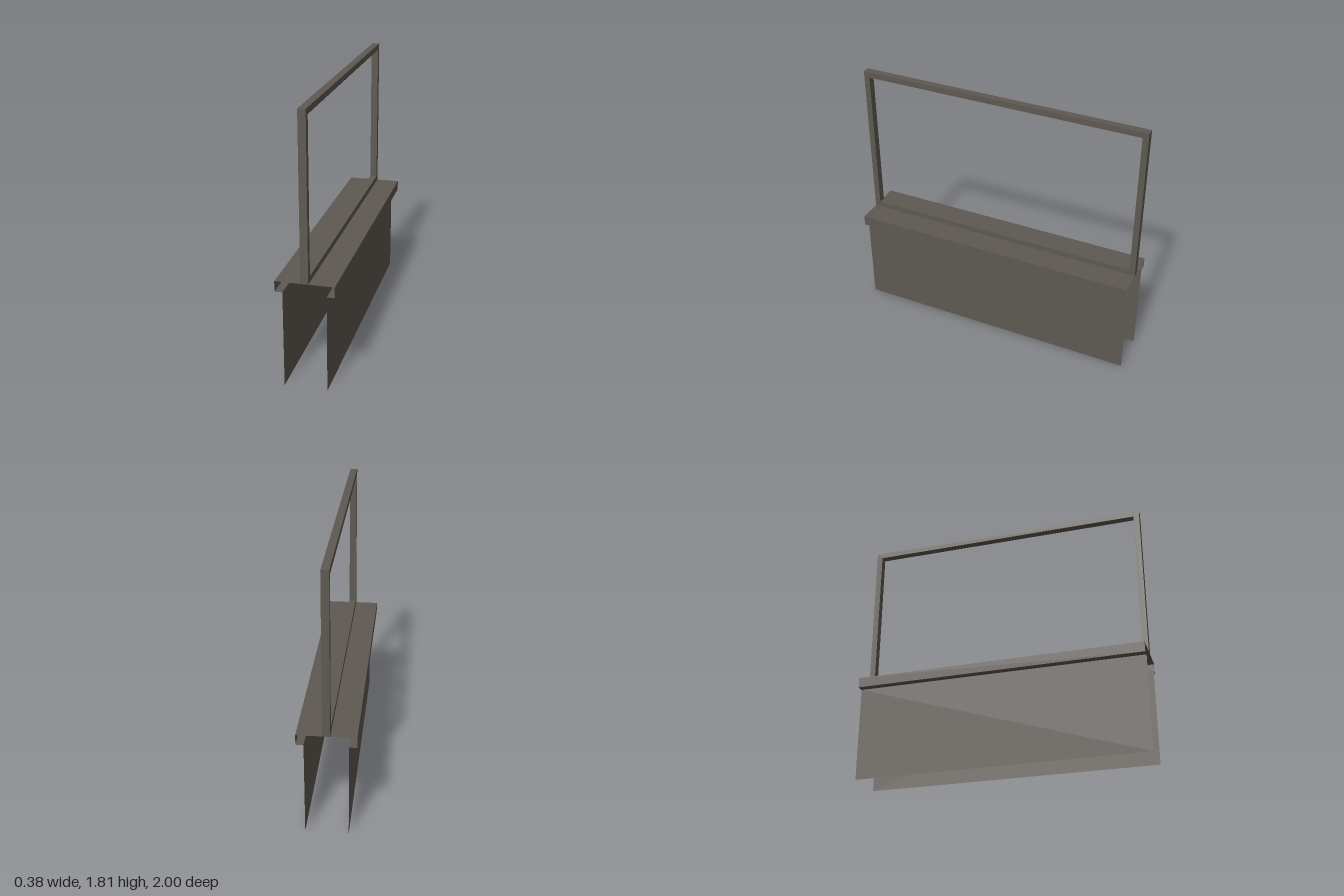
import * as THREE from 'three';

const WALL_X = 0.14, LEDGE_X = 0.19, LEDGE_Y = 0.65, SILL_Y = 0.72;
const TOP_Y = 1.81, HALF = 1, BAR = 0.04;

export function createModel() {
  const group = new THREE.Group();
  const stone = new THREE.MeshStandardMaterial({ color: 0x5e5952, side: THREE.DoubleSide });
  stone.name = 'grey brown';

  // Open sheet running the full length between two cross-section points
  function sheet(name, [x0, y0], [x1, y1]) {
    const geo = new THREE.PlaneGeometry(Math.hypot(x1 - x0, y1 - y0), HALF * 2);
    geo.rotateX(-Math.PI / 2);
    geo.rotateZ(Math.atan2(y1 - y0, x1 - x0));
    geo.translate((x0 + x1) / 2, (y0 + y1) / 2, 0);
    const mesh = new THREE.Mesh(geo, stone);
    mesh.name = name;
    group.add(mesh);
  }

  // Hollow wall with an overhanging sill, open at both ends and below.
  // Each sheet runs so that its normal points outwards.
  sheet('rightWall', [-WALL_X, 0], [-WALL_X, LEDGE_Y]);
  sheet('rightLedge', [-WALL_X, LEDGE_Y], [-LEDGE_X, LEDGE_Y]);
  sheet('rightSillEdge', [-LEDGE_X, LEDGE_Y], [-LEDGE_X, SILL_Y]);
  sheet('sillTop', [-LEDGE_X, SILL_Y], [LEDGE_X, SILL_Y]);
  sheet('leftSillEdge', [LEDGE_X, SILL_Y], [LEDGE_X, LEDGE_Y]);
  sheet('leftLedge', [LEDGE_X, LEDGE_Y], [WALL_X, LEDGE_Y]);
  sheet('leftWall', [WALL_X, LEDGE_Y], [WALL_X, 0]);

  // Rectangular window frame standing along the middle of the sill
  const outline = new THREE.Shape([
    new THREE.Vector2(-HALF, SILL_Y), new THREE.Vector2(HALF, SILL_Y),
    new THREE.Vector2(HALF, TOP_Y), new THREE.Vector2(-HALF, TOP_Y),
  ]);
  const a = HALF - BAR, lo = SILL_Y + BAR, hi = TOP_Y - BAR;
  outline.holes.push(new THREE.Path([
    new THREE.Vector2(-a, lo), new THREE.Vector2(-a, hi),
    new THREE.Vector2(a, hi), new THREE.Vector2(a, lo),
  ]));
  const frameGeo = new THREE.ExtrudeGeometry(outline, { depth: 0.05, bevelEnabled: false });
  frameGeo.translate(0, 0, -0.025);
  frameGeo.rotateY(Math.PI / 2);
  const frame = new THREE.Mesh(frameGeo, stone);
  frame.name = 'windowFrame';
  group.add(frame);

  return group;
}
